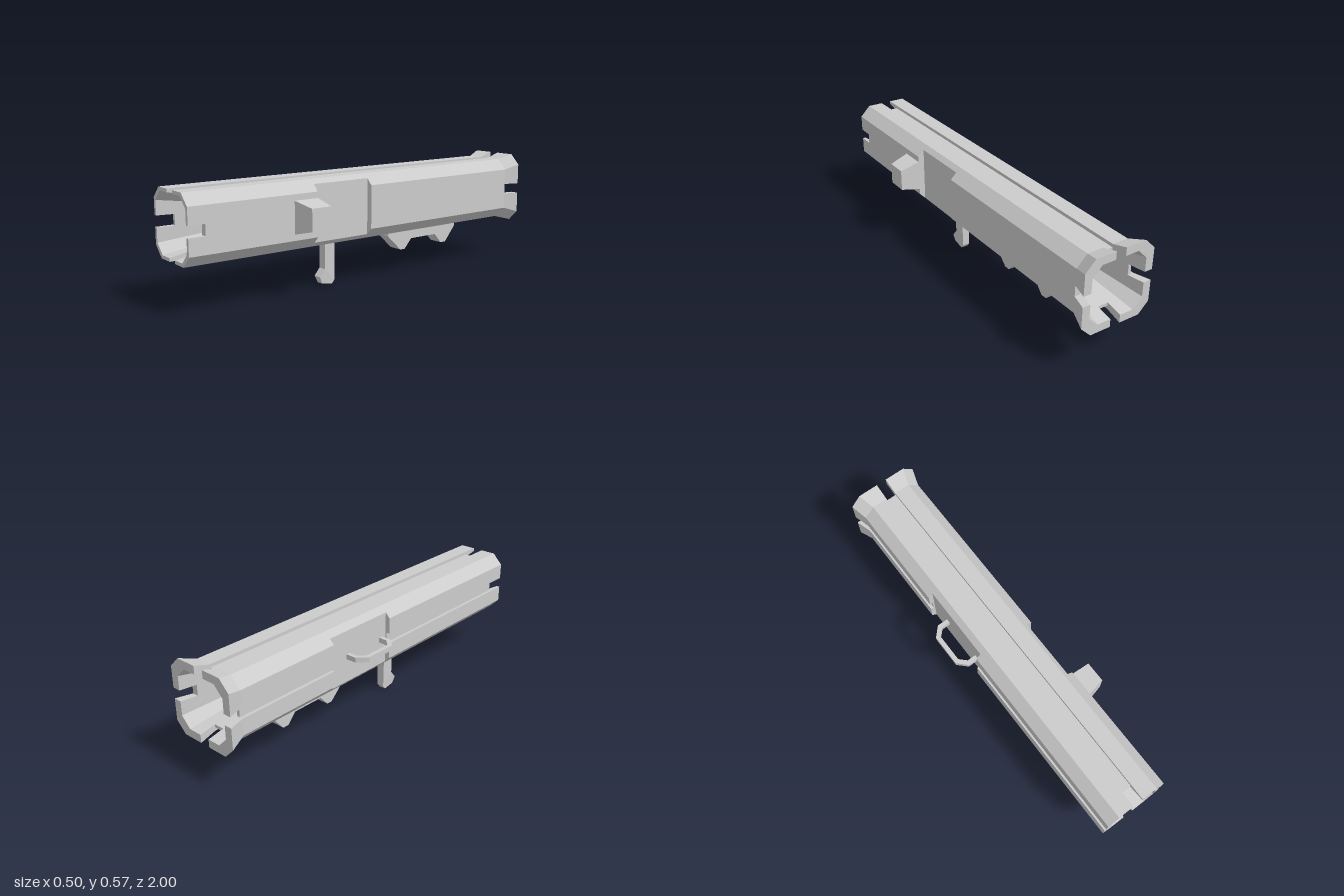
import * as THREE from 'three';

const CX = -0.014, CY = 0.39;   // bore axis
const GAP = 0.0265;             // half width of grooves and notches
const NOTCH = 0.92;             // z where the end notches stop
const APEX = 0.25;              // z where each bore closes to a point
const OUTER = [0.16, 0.107], FLARE = [0.184, 0.132], BORE = [0.144, 0.096];

const material = new THREE.MeshStandardMaterial({ color: 0xcccccc, flatShading: true });

function addMesh(parent, name, geometry) {
  const mesh = new THREE.Mesh(geometry, material);
  mesh.name = name;
  parent.add(mesh);
  return mesh;
}

// Skin over counter-clockwise rings, ordered front to back; optional extra quads
function loft(rings, quads = []) {
  const pos = [];
  const quad = (a, b, c, d) => pos.push(...a, ...b, ...c, ...a, ...c, ...d);
  for (let i = 0; i < rings.length - 1; i++) {
    const A = rings[i], B = rings[i + 1];
    A.forEach((p, j) => {
      const k = (j + 1) % A.length;
      quad(p, B[j], B[k], A[k]);
    });
  }
  quads.forEach(q => quad(...q));
  const g = new THREE.BufferGeometry();
  g.setAttribute('position', new THREE.Float32BufferAttribute(pos, 3));
  g.computeVertexNormals();
  return g;
}

// Rotate a point of the +x side by k quarter turns about the bore axis
function turn([n, t], k, z) {
  const [x, y] = [[n, t], [-t, n], [-n, -t], [t, -n]][k];
  return [CX + x, CY + y, z];
}

// Eight-sided section; sides 1-3 carry a groove, sides 0 and 2 can be cut flat
function section(z, [h, c], floor = h, cuts = {}) {
  const ring = [];
  for (let k = 0; k < 4; k++) {
    const cut = cuts[k];
    const n = cut ?? h, e = cut ? h + c - cut : c;
    const f = cut ?? (k === 0 ? h : floor);
    for (const p of [[n, -e], [n, -GAP], [f, -GAP], [f, GAP], [n, GAP], [n, e]]) {
      ring.push(turn(p, k, z));
    }
  }
  return ring;
}

// One of the four prongs between the end notches
function prong(k, zFront, zBack, outFront, outBack) {
  const ring = (z, [h, c]) => {
    const s = (Math.abs(z) - APEX) / (1 - APEX);
    const hi = BORE[0] * s, ci = BORE[1] * s;
    return [[h, GAP], [h, c], [c, h], [GAP, h], [GAP, hi], [ci, hi], [hi, ci], [hi, GAP]]
      .map(p => turn(p, k, z));
  };
  const F = ring(zFront, outFront), B = ring(zBack, outBack), caps = [];
  for (let i = 0; i < 3; i++) {
    caps.push([F[i], F[i + 1], F[6 - i], F[7 - i]]);
    caps.push([B[7 - i], B[6 - i], B[i + 1], B[i]]);
  }
  return loft([F, B], caps);
}

// Side profile given as [z, y], extruded across x0..x1
function sideProfile(points, x0, x1) {
  const shape = new THREE.Shape(points.map(p => new THREE.Vector2(...p)));
  const g = new THREE.ExtrudeGeometry(shape, { depth: x1 - x0, bevelEnabled: false });
  return g.rotateY(-Math.PI / 2).translate(x1, 0, 0);
}

export function createModel() {
  const group = new THREE.Group();

  // Main tube with grooves, two flat side recesses and a closed bore at each end
  const s = (NOTCH - APEX) / (1 - APEX);
  const inner = BORE.map(v => v * s);
  const out = (z, cuts) => section(z, OUTER, 0.144, cuts);
  const right = { 0: 0.129 }, left = { 2: 0.136 };
  addMesh(group, 'barrel', loft([
    section(APEX, [0, 0]).map(() => [CX, CY, APEX]),
    section(NOTCH, inner),
    out(NOTCH), out(0.345),
    out(0.345, right), out(0.03, right),
    out(0.03), out(0.02),
    out(0.02, left), out(-0.37, left),
    out(-0.37), out(-NOTCH),
    section(-NOTCH, inner),
    section(-APEX, [0, 0]).map(() => [CX, CY, -APEX]),
  ]));

  // Straight prongs at the front, flared prongs at the back
  for (let k = 0; k < 4; k++) {
    addMesh(group, 'frontProng', prong(k, 1, NOTCH, OUTER, OUTER));
    addMesh(group, 'rearProng', prong(k, -NOTCH, -1, OUTER, FLARE));
  }

  // Tapered block on the left side, ahead of the recess
  const block = new THREE.BoxGeometry(1, 1, 1);
  const p = block.attributes.position;
  for (let i = 0; i < p.count; i++) {
    const tip = p.getX(i) > 0;
    p.setXYZ(i, tip ? 0.25 : 0.135,
      CY + Math.sign(p.getY(i)) * (tip ? 0.053 : 0.08),
      p.getZ(i) < 0 ? 0.345 : tip ? 0.45 : 0.475);
  }
  block.computeVertexNormals();
  addMesh(group, 'sideBlock', block);

  // Carry loop on the right side, points as [x, -z]
  const loop = [[-0.14, 0.005], [-0.205, 0.005], [-0.25, -0.05 + 0.1], [-0.25, 0.215],
    [-0.205, 0.262], [-0.14, 0.262], [-0.14, 0.24], [-0.195, 0.24],
    [-0.228, 0.207], [-0.228, 0.06], [-0.195, 0.027], [-0.14, 0.027]];
  const loopShape = new THREE.Shape(loop.map(q => new THREE.Vector2(...q)));
  const loopGeo = new THREE.ExtrudeGeometry(loopShape, { depth: 0.025, bevelEnabled: false });
  addMesh(group, 'sideHandle', loopGeo.rotateX(-Math.PI / 2).translate(0, 0.378, 0));

  // Hooked lever below, slightly narrower at the tip
  const lever = sideProfile([[0.22, 0.25], [0.15, 0.25], [0.15, 0.02], [0.165, 0.002],
    [0.225, 0.01], [0.24, 0.045], [0.21, 0.082], [0.21, 0.21], [0.22, 0.235]], -0.037, 0.009);
  const lp = lever.attributes.position;
  for (let i = 0; i < lp.count; i++) {
    if (lp.getY(i) < 0.03) lp.setX(i, CX + (lp.getX(i) - CX) * 0.82);
    if (lp.getY(i) < 0.005) lp.setY(i, 0);
  }
  lever.computeVertexNormals();
  addMesh(group, 'lever', lever);

  // Two-toothed foot under the rear half
  addMesh(group, 'lowerFoot', sideProfile([[-0.185, 0.24], [-0.18, 0.197], [-0.265, 0.116],
    [-0.295, 0.116], [-0.34, 0.167], [-0.51, 0.167], [-0.555, 0.116], [-0.588, 0.116],
    [-0.655, 0.197], [-0.65, 0.24]], -0.053, 0.025));

  return group;
}
